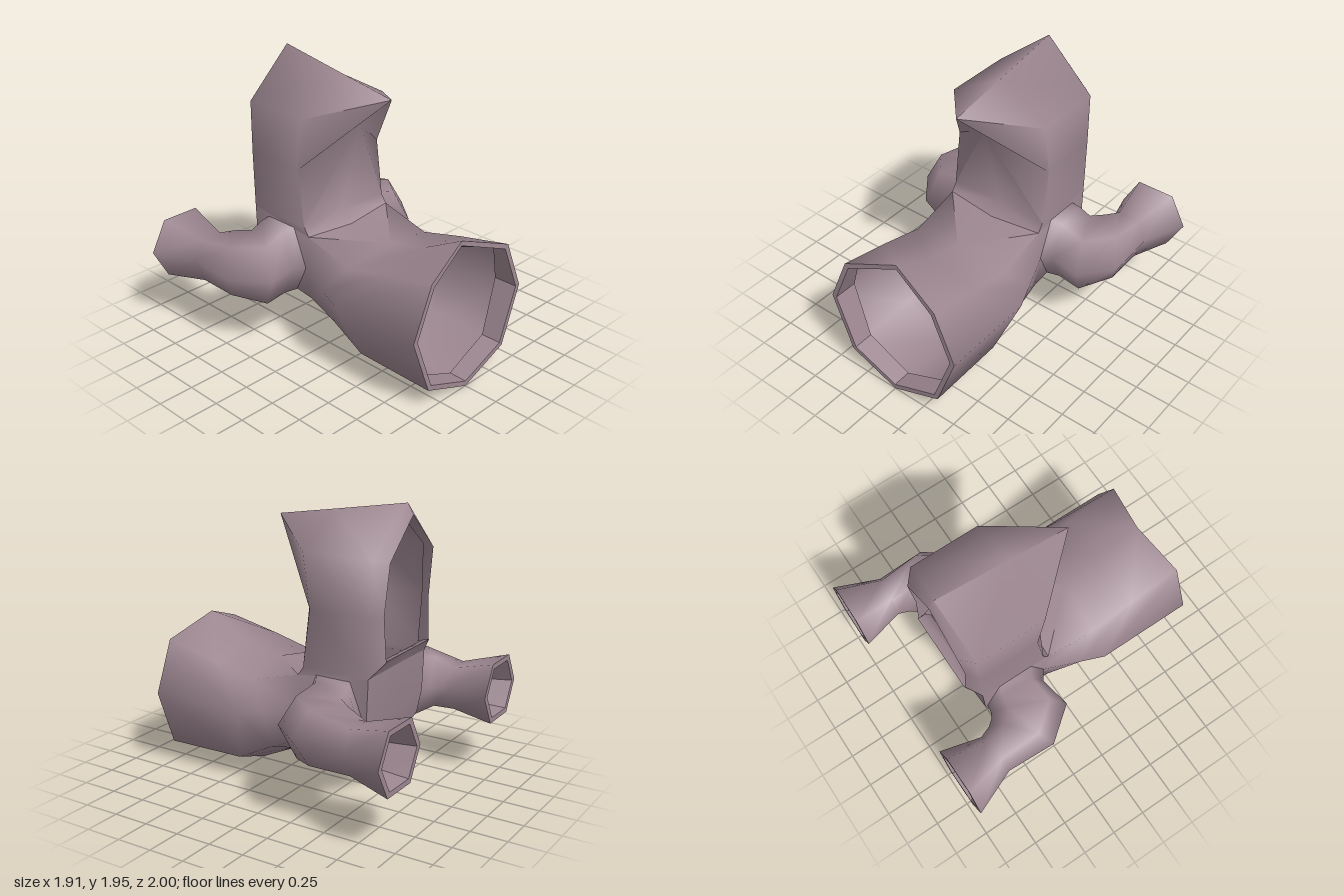
import * as THREE from 'three';
import { toCreasedNormals } from 'three/addons/utils/BufferGeometryUtils.js';

const cloth = new THREE.MeshStandardMaterial({ color: 0x9d8791, side: THREE.DoubleSide });
cloth.name = 'mauve cloth';

// Skin rows of [x, y, z] points; skip(i, j) leaves a quad open.
function loft(name, rows, closed, crease = 1.5, skip = () => false) {
  const pos = [];
  const tri = (a, b, c) => {
    const [A, B, C] = [a, b, c].map(p => new THREE.Vector3(...p));
    if (B.clone().sub(A).cross(C.clone().sub(A)).length() > 1e-6) pos.push(...a, ...b, ...c);
  };
  for (let i = 0; i < rows.length - 1; i++) {
    const n = rows[i].length;
    for (let j = 0; j < (closed ? n : n - 1); j++) {
      if (skip(i, j)) continue;
      const k = (j + 1) % n;
      let [a, b, c, d] = [rows[i][j], rows[i][k], rows[i + 1][k], rows[i + 1][j]];
      // Mirror the diagonal so both halves match
      if (a[0] + b[0] < 0) [a, b, c, d] = [b, c, d, a];
      tri(a, b, c);
      tri(a, c, d);
    }
  }
  const geo = new THREE.BufferGeometry();
  geo.setAttribute('position', new THREE.Float32BufferAttribute(pos, 3));
  const mesh = new THREE.Mesh(toCreasedNormals(geo, crease), cloth);
  mesh.name = name;
  return mesh;
}

const flip = ([x, y, z]) => [-x, y, z];

// Ring a fraction t of the way from ring a to ring b, shrunk by s about its centre.
function inner(a, b, t, s) {
  const mix = a.map((p, i) => p.map((v, k) => v + (b[i][k] - v) * t));
  const c = [0, 1, 2].map(k => mix.reduce((sum, p) => sum + p[k], 0) / mix.length);
  return mix.map(p => p.map((v, k) => (k < 2 ? c[k] + (v - c[k]) * s : v)));
}

// Thick edge around an opening
const rim = (name, a, b, depth, s) => loft(name, [a, inner(a, b, 0, s), inner(a, b, depth, s)], true, 0.7);

export function createModel() {
  const group = new THREE.Group();

  // Body: top, upper corner, side, lower corner, bottom of each octagonal section
  const ring = h => [...h, ...h.slice(1, 4).reverse().map(flip)];
  const body = [
    [[0, 1.03, 0.92], [0.37, 0.9, 1], [0.52, 0.55, 1], [0.37, 0.15, 1], [0, 0.005, 1]],
    [[0, 0.88, 0.63], [0.37, 0.82, 0.62], [0.52, 0.55, 0.32], [0.37, 0.16, 0.42], [0, 0.02, 0.48]],
    [[0, 0.8, 0.33], [0.37, 0.74, 0.3], [0.46, 0.56, 0.16], [0.36, 0.29, 0.16], [0, 0.16, 0.18]],
    [[0, 0.82, -0.03], [0.37, 0.84, -0.06], [0.37, 0.6, -0.1], [0.36, 0.38, -0.05], [0, 0.19, -0.05]],
    [[0, 0.93, -0.62], [0.37, 0.9, -0.58], [0.37, 0.62, -0.57], [0.36, 0.45, -0.54], [0, 0.22, -0.48]],
  ].map(ring);
  // The neck stays open beneath the hood
  group.add(loft('body', body, true, 1.5, (i, j) => i === 3 && (j === 0 || j === 7)));
  group.add(loft('bodyBack', [body[4], body[4].map(() => [0, 0.58, -0.59])], true));
  group.add(rim('hem', body[0], body[1], 0.25, 0.93));

  // Low collar closing the foot of the hood opening
  group.add(loft('collar', [
    [[0.37, 0.9, -0.58], [0, 0.93, -0.62]],
    [[0.28, 1.01, -0.66], [0, 1.01, -0.66]],
    [[0.29, 0.99, -0.6], [0, 0.99, -0.6]],
    [[0.29, 0.91, -0.56], [0, 0.91, -0.56]],
  ].map(([a, b]) => [a, b, flip(a)]), false, 0.8));

  // Hood: lining, back edge, back corner, front corner, front centre of each row
  const hood = [
    [[0.31, 0.97, -0.56], [0.28, 1, -0.655], [0.37, 0.9, -0.58], [0.37, 0.84, -0.06], [0, 0.82, -0.03]],
    [[0.31, 0.97, -0.56], [0.28, 1, -0.655], [0.37, 0.9, -0.58], [0.37, 0.9, -0.1], [0, 0.9, -0.12]],
    [[0.33, 1.29, -0.57], [0.29, 1.29, -0.64], [0.37, 1.29, -0.59], [0.37, 1.29, -0.15], [0, 1.56, 0.05]],
    [[0.33, 1.29, -0.57], [0.29, 1.29, -0.64], [0.37, 1.29, -0.59], [0.37, 1.29, -0.15], [0, 1.79, 0.32]],
    [[0.33, 1.63, -0.57], [0.28, 1.63, -0.67], [0.37, 1.65, -0.59], [0.37, 1.65, -0.1], [0, 1.79, 0.32]],
    [[0, 1.89, -0.57], [0, 1.88, -0.67], [0, 1.95, -0.63], [0, 1.86, -0.1], [0, 1.79, 0.32]],
  ].map(h => [...h, ...h.slice(0, 4).reverse().map(flip)]);
  group.add(loft('hood', hood, false, 1.5));

  // Sleeves: hexagonal rings from outer [x, z], inner [x, z], top and bottom heights
  const hex = ([ox, oz, ix, iz, top, low]) => {
    const mid = 0.6;
    return [[0, mid], [0.23, top], [0.77, top], [1, mid], [0.77, low], [0.23, low]]
      .map(([t, y]) => [ox + (ix - ox) * t, y, oz + (iz - oz) * t]);
  };
  const sleeve = [
    [0.35, -0.08, 0.35, -0.55, 0.87, 0.4],
    [0.44, -0.14, 0.42, -0.56, 0.84, 0.38],
    [0.66, -0.1, 0.46, -0.58, 0.8, 0.38],
    [0.84, -0.33, 0.5, -0.63, 0.79, 0.43],
    [0.825, -0.68, 0.53, -0.71, 0.73, 0.43],
    [0.955, -0.99, 0.455, -0.995, 0.81, 0.39],
  ].map(hex);
  for (const side of [1, -1]) {
    const arm = new THREE.Group();
    arm.name = side > 0 ? 'leftArm' : 'rightArm';
    const rows = sleeve.map(r => (side > 0 ? r : r.map(flip)));
    arm.add(loft('sleeve', rows, true));
    arm.add(rim('cuff', rows[5], rows[4], 0.85, 0.83));
    group.add(arm);
  }
  return group;
}
